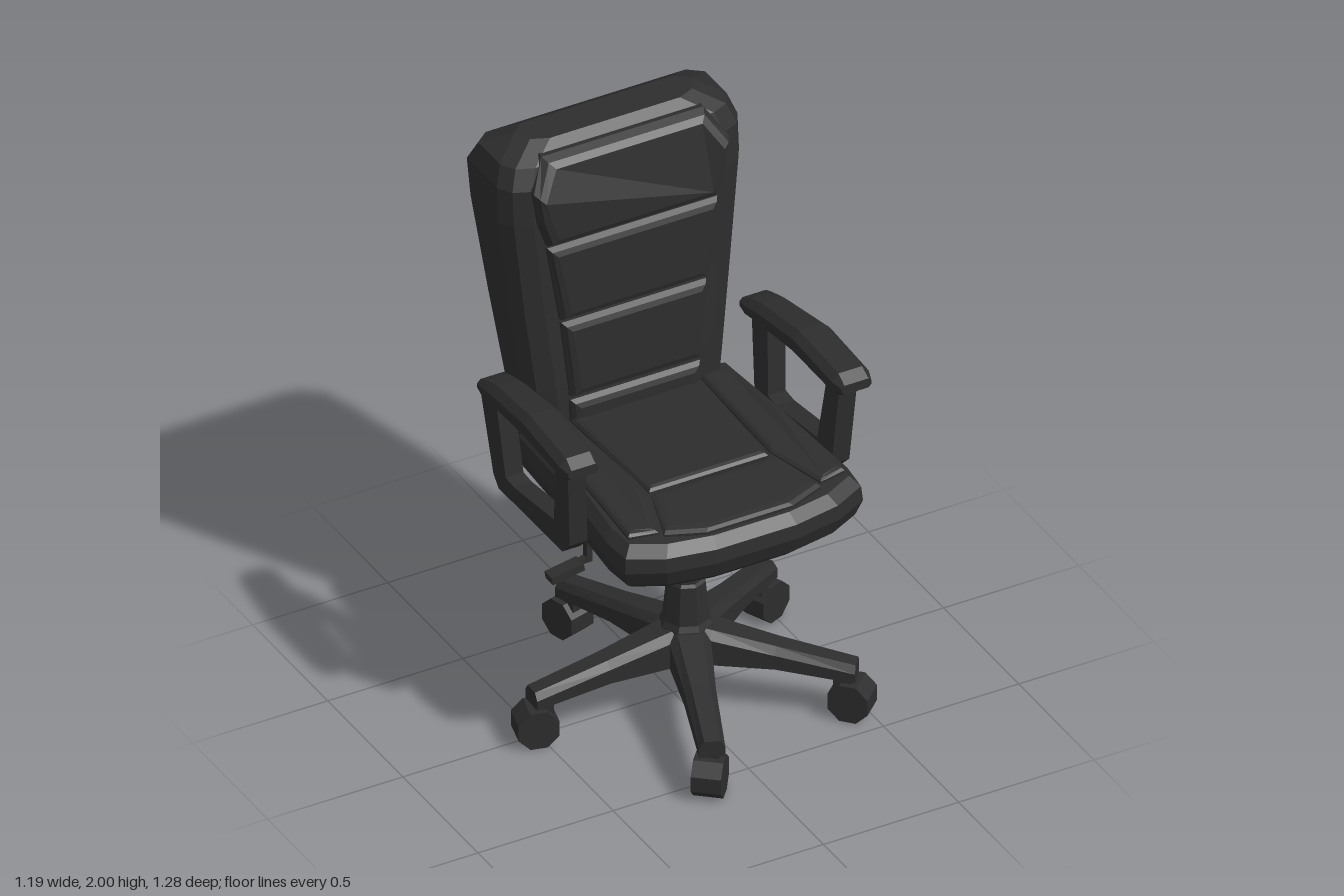
import * as THREE from 'three';

const charcoal = new THREE.MeshStandardMaterial({ color: 0x2d2d2d, flatShading: true });
charcoal.name = 'charcoal';

const CX = 0.012; // the chair sits slightly off the axis
const mesh = (name, geometry) => {
  const m = new THREE.Mesh(geometry, charcoal);
  m.name = name;
  return m;
};

// Closed faceted solid through rings of equal point count
function loft(rings) {
  const n = rings[0].length;
  const tris = [];
  for (let i = 0; i < rings.length - 1; i++) {
    for (let j = 0; j < n; j++) {
      const k = (j + 1) % n;
      const [a, b, c, d] = [rings[i][j], rings[i][k], rings[i + 1][k], rings[i + 1][j]];
      tris.push([a, b, c], [a, c, d]);
    }
  }
  const first = rings[0], last = rings[rings.length - 1];
  for (let j = 1; j < n - 1; j++) {
    tris.push([first[0], first[j + 1], first[j]], [last[0], last[j], last[j + 1]]);
  }
  // Turn the faces outward whatever the ring direction
  let volume = 0;
  const v = (p) => new THREE.Vector3(...p);
  for (const [a, b, c] of tris) volume += v(a).dot(v(b).cross(v(c)));
  if (volume < 0) tris.forEach((t) => t.reverse());
  const g = new THREE.BufferGeometry();
  g.setAttribute('position', new THREE.Float32BufferAttribute(tris.flat(2), 3));
  g.computeVertexNormals();
  return g;
}

// Mirror a half outline [u, v] across u = 0 into a closed outline
const mirrored = (half) => [...half, ...half.map(([u, v]) => [-u, v]).reverse()];

// Padded cushion: outline in u, v raised along d, with a soft bevelled rim
function pad(outline, height, bevel, map) {
  const cv = outline.reduce((s, p) => s + p[1], 0) / outline.length;
  const cu = outline.reduce((s, p) => s + p[0], 0) / outline.length;
  const ring = (inset, d) => outline.map(([u, v]) =>
    map(u - Math.sign(u - cu) * inset, v - Math.sign(v - cv) * inset, d));
  return loft([ring(0, -0.04), ring(0, height * 0.3), ring(bevel * 0.4, height * 0.8), ring(bevel, height)]);
}

function makeSeat() {
  const seat = new THREE.Group();
  seat.name = 'seat';
  const outline = mirrored([[0.15, 0.54], [0.32, 0.51], [0.44, 0.45], [0.45, 0.34], [0.42, 0], [0.4, -0.34]]);
  const rise = (z) => 0.02 * (1 - Math.abs(z) / 0.55);
  const rows = [[0.78, 0.05], [0.81, 0.02], [0.87, 0], [0.92, 0.005], [0.955, 0.035], [0.962, 0.09]];
  seat.add(mesh('seatBase', loft(rows.map(([y, inset]) => outline.map(([x, z]) => [
    CX + x * (1 - inset / 0.45),
    y + (y > 0.9 ? rise(z) : 0),
    z > 0 ? z * (1 - inset / 0.5) : z,
  ])))));
  const top = (x, z, d) => [CX + x, 0.96 + rise(z) + d, z];
  seat.add(mesh('seatCentrePad', pad(mirrored([[0.22, 0.215], [0.24, -0.3]]), 0.018, 0.02, top)));
  seat.add(mesh('seatFrontPad', pad(mirrored([[0.16, 0.49], [0.29, 0.44], [0.22, 0.225]]), 0.014, 0.03, top)));
  for (const s of [1, -1]) {
    const side = [[0.30, 0.42], [0.40, 0.40], [0.38, 0], [0.36, -0.3], [0.25, -0.3], [0.235, 0.2]];
    seat.add(mesh('seatBolster', pad(side.map(([x, z]) => [s * x, z]), 0.016, 0.02, top)));
  }
  return seat;
}

function makeBackrest() {
  const back = new THREE.Group();
  back.name = 'backrest';
  // Rows of height, half width, front z and rear z
  const rows = [
    [0.78, 0.33, -0.31, -0.455], [0.82, 0.35, -0.285, -0.47], [1.1, 0.375, -0.285, -0.51],
    [1.4, 0.41, -0.3, -0.555], [1.75, 0.445, -0.31, -0.61], [1.88, 0.445, -0.32, -0.635],
    [1.95, 0.42, -0.345, -0.605], [2.0, 0.33, -0.41, -0.53],
  ];
  back.add(mesh('backShell', loft(rows.map(([y, w, f, r]) => mirrored([
    [w - 0.09, f], [w - 0.03, f - 0.025], [w, f - 0.075], [w, r + 0.04], [w - 0.05, r],
  ]).map(([x, z]) => [CX + x, y, z])))));
  const front = (x, y, d) =>
    [CX + x, y, -0.275 - 0.035 * (y - 0.8) - Math.max(0, y - 1.88) * 0.6 + d];
  const cushions = [
    ['headrest', [[0.315, 1.67], [0.345, 1.76], [0.36, 1.88], [0.3, 1.975]], 0.042],
    ['upperBackPad', [[0.27, 1.37], [0.315, 1.66]], 0.034],
    ['lowerBackPad', [[0.24, 1.07], [0.268, 1.36]], 0.034],
    ['lumbarPad', [[0.235, 0.9], [0.24, 1.055]], 0.03],
  ];
  for (const [name, half, h] of cushions) back.add(mesh(name, pad(mirrored(half), h, 0.03, front)));
  return back;
}

function makeArmrest(s) {
  const arm = new THREE.Group();
  arm.name = s > 0 ? 'leftArmrest' : 'rightArmrest';
  // Pad sections: z, bottom, top, inner and outer x
  const sections = [
    [0.29, 1.18, 1.215, 0.45, 0.56], [0.25, 1.155, 1.24, 0.435, 0.572], [0.0, 1.165, 1.26, 0.43, 0.568],
    [-0.24, 1.14, 1.225, 0.425, 0.553], [-0.31, 1.13, 1.205, 0.425, 0.548], [-0.355, 1.145, 1.185, 0.43, 0.54],
  ];
  arm.add(mesh('armPad', loft(sections.map(([z, b, t, i, o]) => {
    const c = Math.min(0.025, (t - b) * 0.3);
    return [[i + c, b], [i, b + c], [i, t - c], [i + c, t], [o - c, t], [o, t - c], [o, b + c], [o - c, b]]
      .map(([x, y]) => [CX + s * x, y, z]);
  }))));
  // Looped support frame, leaning outward towards the pad
  const pts = (list) => list.map(([z, y]) => new THREE.Vector2(-z, y));
  const shape = new THREE.Shape(pts([
    [0.24, 1.18], [0.22, 0.87], [0.165, 0.815], [-0.26, 0.81], [-0.29, 0.85], [-0.345, 1.16],
  ]));
  shape.holes.push(new THREE.Path(pts([[0.157, 1.165], [-0.235, 1.145], [-0.205, 0.885], [-0.15, 0.88], [0.12, 0.915]])));
  const g = new THREE.ExtrudeGeometry(shape, { depth: 0.066, bevelEnabled: false });
  g.rotateY(Math.PI / 2);
  g.translate(CX + (s > 0 ? 0.45 : -0.516), 0, 0);
  const p = g.attributes.position;
  for (let i = 0; i < p.count; i++) p.setX(i, p.getX(i) + s * 0.06 * (p.getY(i) - 0.85));
  g.computeVertexNormals();
  arm.add(mesh('armFrame', g));
  return arm;
}

function makeBase() {
  const base = new THREE.Group();
  base.name = 'base';
  base.position.set(0.02, 0, 0.05);
  const swivels = [20, 9, 10, 0, 12];
  for (let i = 0; i < 5; i++) {
    const leg = new THREE.Group();
    leg.name = 'leg';
    leg.rotation.y = -THREE.MathUtils.degToRad(110.4 - 72 * i);
    // Leg sections: radius, bottom, top, half width
    const sections = [[0, 0.18, 0.325, 0.075], [0.09, 0.185, 0.305, 0.068], [0.3, 0.18, 0.258, 0.052], [0.56, 0.148, 0.208, 0.043]];
    leg.add(mesh('legBeam', loft(sections.map(([r, b, t, w]) =>
      [[-w, b], [-w, t - 0.025], [-w * 0.6, t], [w * 0.6, t], [w, t - 0.025], [w, b]].map(([z, y]) => [r, y, z])))));
    const caster = new THREE.Group();
    caster.name = 'caster';
    caster.position.set(0.53, 0, 0);
    caster.rotation.y = -THREE.MathUtils.degToRad(swivels[i]);
    const stem = mesh('casterStem', new THREE.BoxGeometry(0.06, 0.08, 0.06));
    stem.position.set(-0.01, 0.135, 0);
    const wheel = mesh('casterWheel', new THREE.CylinderGeometry(0.074, 0.074, 0.1, 8).rotateY(Math.PI / 8).rotateX(Math.PI / 2));
    wheel.position.set(0.015, 0.0685, 0);
    caster.add(stem, wheel);
    leg.add(caster);
    base.add(leg);
  }
  // Gas lift column
  const profile = [[0, 0.2], [0.1, 0.2], [0.09, 0.31], [0.08, 0.33], [0.066, 0.47], [0.058, 0.48],
    [0.048, 0.7], [0.036, 0.735], [0.036, 0.79], [0, 0.79]];
  base.add(mesh('column', new THREE.LatheGeometry(profile.map(([x, y]) => new THREE.Vector2(x, y)), 8).toNonIndexed()));
  return base;
}

function makeControls() {
  const controls = new THREE.Group();
  controls.name = 'controls';
  const box = (name, size, at, tilt = 0) => {
    const m = mesh(name, new THREE.BoxGeometry(...size));
    m.position.set(...at);
    m.rotation.z = tilt;
    controls.add(m);
  };
  box('mountPlate', [0.2, 0.03, 0.14], [0.015, 0.768, 0.04]);
  box('tiltRod', [0.22, 0.012, 0.02], [0.18, 0.73, 0.03], -0.2);
  // Paddle levers under both sides of the seat
  for (const s of [1, -1]) {
    box('leverStem', [0.02, 0.14, 0.025], [CX + s * 0.345, 0.715, 0.03]);
    box('leverArm', [0.06, 0.016, 0.025], [CX + s * 0.37, 0.65, 0.03], -s * 0.35);
    box('leverPaddle', [0.12, 0.028, 0.05], [CX + s * 0.43, 0.632, 0.03], -s * 0.17);
  }
  return controls;
}

export function createModel() {
  const chair = new THREE.Group();
  chair.name = 'officeChair';
  chair.add(makeSeat(), makeBackrest(), makeArmrest(1), makeArmrest(-1), makeBase(), makeControls());
  return chair;
}
